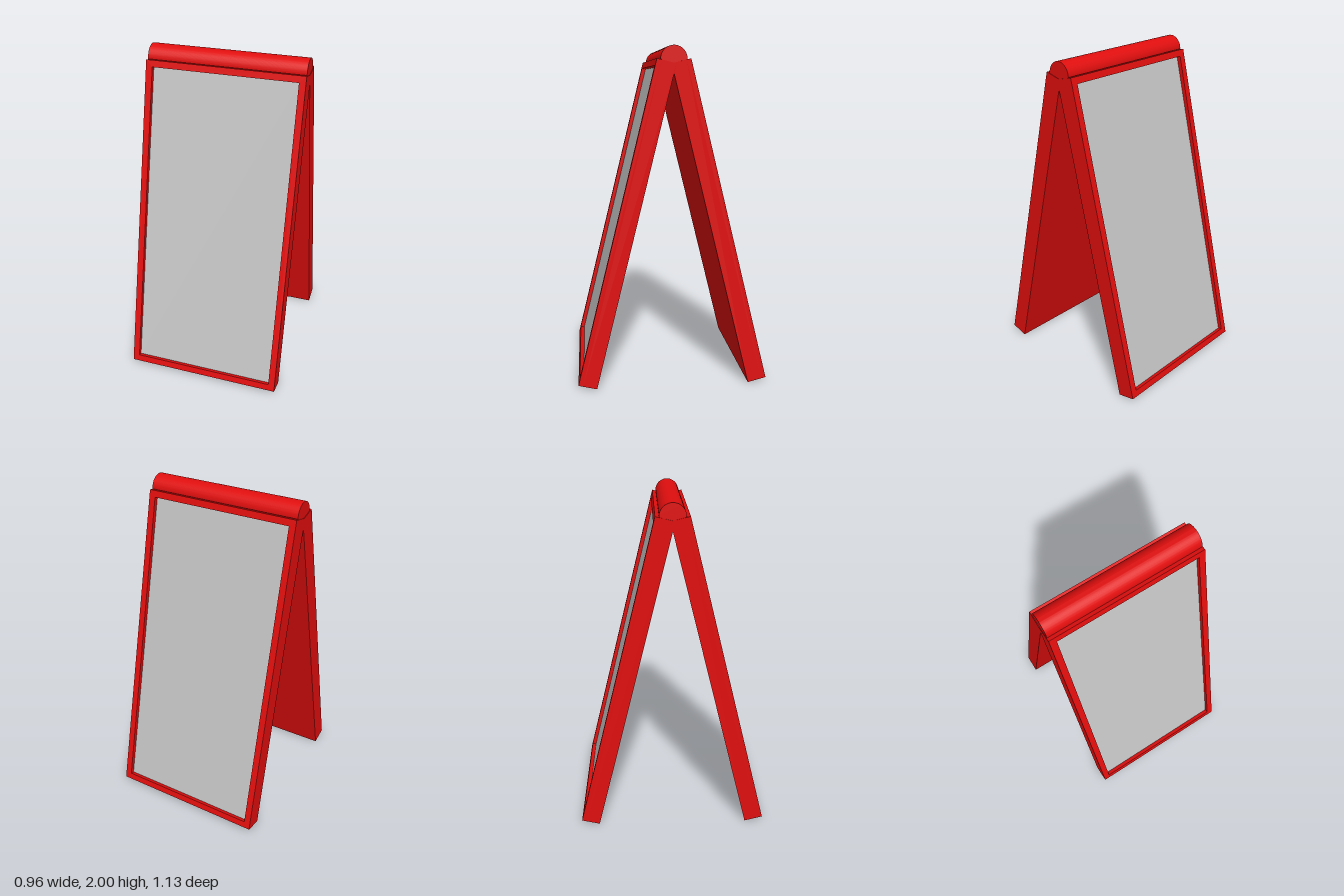
import * as THREE from 'three';
import { toCreasedNormals } from 'three/addons/utils/BufferGeometryUtils.js';

const WIDTH = 0.96, LENGTH = 1.957, THICK = 0.113;
const BORDER = 0.04, RECESS = 0.027, TILT = 0.2425;

function rectangle(PathType, x0, y0, x1, y1) {
  const p = new PathType();
  p.moveTo(x0, y0);
  p.lineTo(x1, y0);
  p.lineTo(x1, y1);
  p.lineTo(x0, y1);
  p.closePath();
  return p;
}

// One leaning board; local origin is the lower edge of its outer face
function makeBoard(name, red, grey) {
  const board = new THREE.Group();
  board.name = name;
  const w = WIDTH / 2;

  // Solid backing slab
  const backing = new THREE.Mesh(new THREE.BoxGeometry(WIDTH, LENGTH, THICK - RECESS), red);
  backing.name = 'backing';
  backing.position.set(0, LENGTH / 2, -(THICK + RECESS) / 2);

  // Raised rim around the recessed display
  const outline = rectangle(THREE.Shape, -w, 0, w, LENGTH);
  outline.holes.push(rectangle(THREE.Path, -w + BORDER, BORDER, w - BORDER, LENGTH - BORDER));
  const frame = new THREE.Mesh(
    new THREE.ExtrudeGeometry(outline, { depth: RECESS, bevelEnabled: false }), red);
  frame.name = 'frame';
  frame.position.z = -RECESS;

  // Display sheet at the bottom of the recess
  const panel = new THREE.Mesh(
    new THREE.BoxGeometry(WIDTH - 2 * BORDER, LENGTH - 2 * BORDER, 0.002), grey);
  panel.name = 'displayPanel';
  panel.position.set(0, LENGTH / 2, -RECESS + 0.001);

  board.add(backing, frame, panel);
  board.position.set(0, 0.027, 0.566);
  board.rotation.x = -TILT;
  return board;
}

export function createModel() {
  const model = new THREE.Group();
  model.name = 'sandwichBoard';
  const red = new THREE.MeshStandardMaterial({ color: 0xe00e0e });
  red.name = 'red';
  const grey = new THREE.MeshStandardMaterial({ color: 0xc4c4c4 });
  grey.name = 'light grey';

  // Front board, and the same board turned to face backwards
  model.add(makeBoard('frontBoard', red, grey));
  const back = new THREE.Group();
  back.name = 'backSide';
  back.rotation.y = Math.PI;
  back.add(makeBoard('backBoard', red, grey));
  model.add(back);

  // Rounded ridge whose pointed underside sits between the boards
  const profile = new THREE.Shape();
  profile.absarc(0, 0, 0.075, 0, Math.PI, false);
  profile.lineTo(0, -0.06);
  profile.closePath();
  const ridgeWidth = 0.954;
  const ridgeGeometry = toCreasedNormals(
    new THREE.ExtrudeGeometry(profile, { depth: ridgeWidth, bevelEnabled: false, curveSegments: 24 }), 0.5);
  ridgeGeometry.translate(0, 0, -ridgeWidth / 2);
  const ridge = new THREE.Mesh(ridgeGeometry, red);
  ridge.name = 'topRidge';
  ridge.rotation.y = Math.PI / 2;
  ridge.position.y = 1.925;
  model.add(ridge);

  return model;
}
